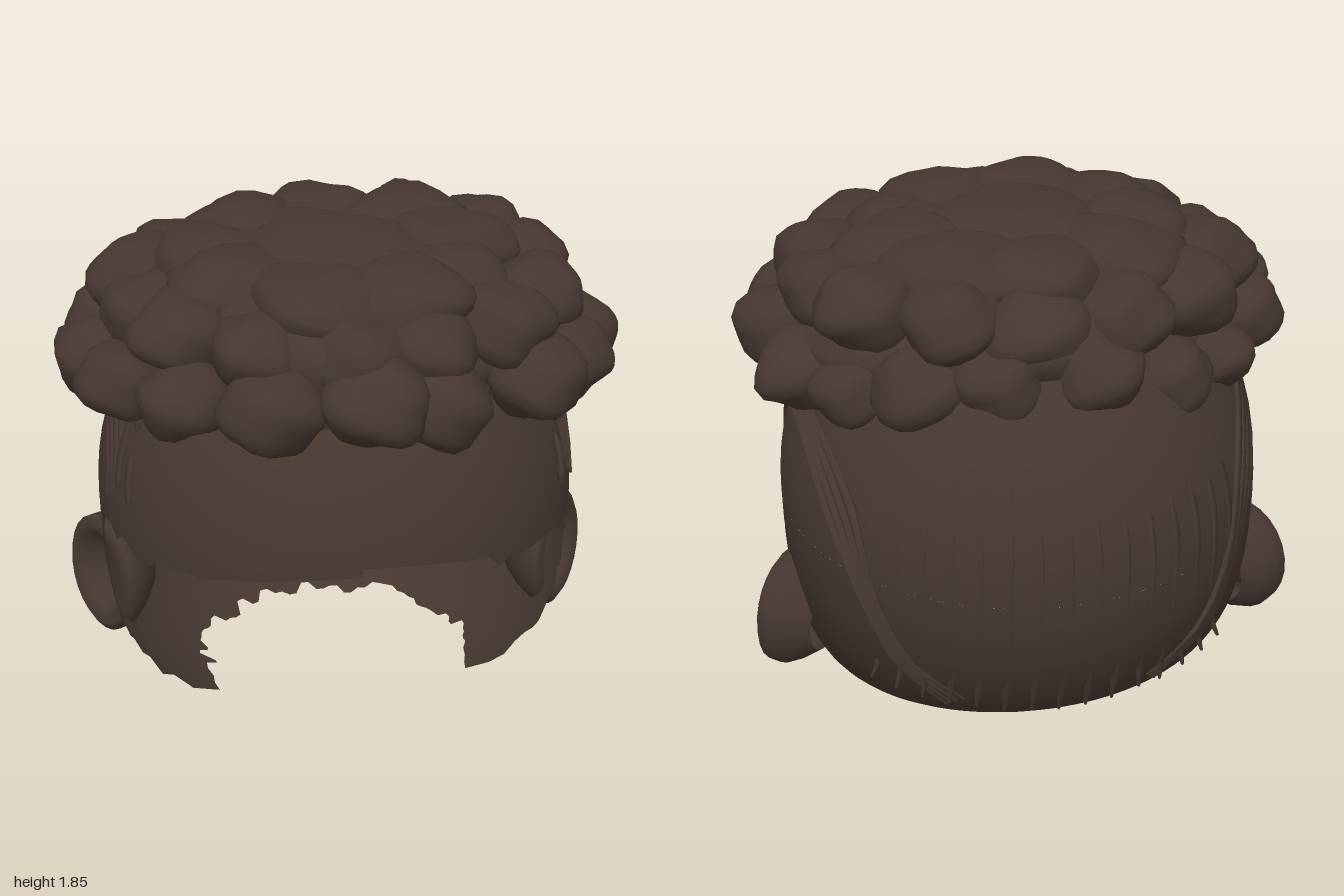
import * as THREE from 'three';
import { mergeGeometries, mergeVertices } from 'three/addons/utils/BufferGeometryUtils.js';

const MID = 0.87, R = 0.88, W = 0.85;
const mat = new THREE.MeshStandardMaterial({ color: 0x45362f, side: THREE.DoubleSide });
const hash = n => { const s = Math.sin(n * 127.1 + 11.7) * 43758.5453; return s - Math.floor(s); };
const round = (t, n) => Math.pow(Math.max(0, 1 - Math.pow(Math.min(1, t), n)), 1 / n);

// Half width and half depth of the head at a height
function halves(y) {
  const t = Math.abs(y - MID) / R;
  return y > MID ? [W * round(t, 2), R * round(t, 2)] : [W * round(t, 3.2), R * round(t, 2)];
}

// Point on the head at height y and azimuth a (0 is the front), k scales it outward
function onHead(y, a, k = 1) {
  const [w, d] = halves(y);
  const depth = y < MID && Math.cos(a) > 0 ? R : d;
  return new THREE.Vector3(w * Math.sin(a) * k, y, depth * Math.cos(a) * k);
}

// Point on the head's side, given height and z
function onSide(y, z, side, k = 1.01) {
  const [w, d] = halves(y);
  const q = Math.min(0.99, Math.abs(z) / (y < MID && z > 0 ? R : d));
  return new THREE.Vector3(side * w * Math.sqrt(1 - q * q) * k, y, z * k);
}

// Grid surface from a rule, with rounded head normals
function headGrid(nu, nv, fn) {
  const pos = [], nor = [], idx = [];
  for (let j = 0; j <= nv; j++) for (let i = 0; i <= nu; i++) {
    const p = fn(i, j);
    const n = new THREE.Vector3(p.x / (W * W), (p.y - MID) / (R * R), p.z / (R * R)).normalize();
    pos.push(p.x, p.y, p.z);
    nor.push(n.x, n.y, n.z);
    if (i < nu && j < nv) {
      const a = j * (nu + 1) + i, b = a + nu + 1;
      idx.push(a, b, a + 1, a + 1, b, b + 1);
    }
  }
  const g = new THREE.BufferGeometry();
  g.setAttribute('position', new THREE.Float32BufferAttribute(pos, 3));
  g.setAttribute('normal', new THREE.Float32BufferAttribute(nor, 3));
  g.setIndex(idx);
  return g;
}

// Upper dome, with a ragged brim over the open face
function upperCap() {
  const nu = 96, nv = 20;
  return headGrid(nu, nv, (i, j) => {
    const a = i / nu * Math.PI * 2, c = Math.max(0, Math.cos(a));
    const jag = c > 0.2 && c < 0.85 ? (hash(i) - 0.6) * 0.06 : 0;
    const brim = 0.86 + 0.12 * c ** 4 + jag + (c > 0.85 && a < 1 ? 0.03 : 0);
    const phi = j / nv * Math.acos((brim - MID) / R);
    return onHead(MID + R * Math.cos(phi), a);
  });
}

// Lower back and sides, open at the face and the neck
function lowerShell() {
  const nu = 72, nv = 20;
  return headGrid(nu, nv, (i, j) => {
    const t = j / nv, s = i / nu;
    const edge = 0.17 + (hash(j + (s > 0.5 ? 40 : 0)) - 0.5) * 0.07 * (j > 0 ? 1 : 0);
    const a0 = Math.acos(edge / R);
    const a = a0 + s * (Math.PI * 2 - 2 * a0);
    const bottom = 0.04 + 0.05 * Math.max(0, -Math.cos(a)) + (hash(Math.floor(i / 2) + 90) - 0.5) * 0.03;
    return onHead(0.86 + (bottom - 0.86) * t, a);
  });
}

// Rounded clump of curls, dented by a smooth rule
function clump(x, y, z, sx, sy, sz, seed, detail = 3) {
  const g0 = new THREE.IcosahedronGeometry(1, detail);
  g0.deleteAttribute('uv');
  g0.deleteAttribute('normal');
  const g = mergeVertices(g0, 1e-4), p = g.attributes.position;
  for (let i = 0; i < p.count; i++) {
    const v = new THREE.Vector3().fromBufferAttribute(p, i);
    const k = 1 + 0.09 * Math.sin(4 * v.x + seed) * Math.cos(3.5 * v.z + seed * 2) + 0.06 * Math.sin(5 * v.y + 3 * v.x + seed * 3);
    p.setXYZ(i, v.x * k, v.y * k, v.z * k);
  }
  g.scale(sx, sy, sz);
  g.rotateY(hash(seed) * 0.6 - 0.3);
  g.translate(x, y, z);
  g.computeVertexNormals();
  return g;
}

function curls() {
  const parts = [clump(0, 1.53, 0.08, 0.74, 0.3, 0.64, 2, 8)];
  // count, height, ring radii, clump radii
  const rings = [
    [17, 1.52, 0.78, 0.62, 0.155, 0.13, 0.155],
    [14, 1.65, 0.66, 0.54, 0.17, 0.13, 0.17],
    [9, 1.74, 0.40, 0.36, 0.23, 0.12, 0.21],
    [1, 1.74, 0, 0, 0.32, 0.13, 0.3],
  ];
  rings.forEach(([n, y, rx, rz, sx, sy, sz], r) => {
    for (let i = 0; i < n; i++) {
      const seed = r * 31 + i + 1, a = (i + 0.3 * hash(seed)) / n * Math.PI * 2 + r * 0.2;
      const h = hash(seed + 5), k = 0.97 + 0.07 * h, size = 0.9 + 0.25 * hash(seed + 9);
      const c = Math.cos(a), s = Math.sin(a);
      const sag = r ? 0 : -0.07 * Math.abs(c) - (s < -0.3 && s > -0.85 ? 0.05 : 0);
      parts.push(clump(rx * c * k, y + sag + (h - 0.5) * 0.05, 0.09 + rz * s * k, sx * size, sy * size, sz * size, seed));
    }
  });
  return mergeGeometries(parts);
}

// Thin strand tapered at both ends
function strand(points, radius = 0.014) {
  const curve = new THREE.CatmullRomCurve3(points), n = 16, sides = 4;
  const g = new THREE.TubeGeometry(curve, n, radius, sides), p = g.attributes.position;
  for (let i = 0; i < p.count; i++) {
    const u = Math.floor(i / (sides + 1)) / n, c = curve.getPointAt(u);
    const v = new THREE.Vector3().fromBufferAttribute(p, i).sub(c);
    v.multiplyScalar(Math.min(1, 0.3 + 5 * u * (1 - u))).add(c);
    p.setXYZ(i, v.x, v.y, v.z);
  }
  g.computeVertexNormals();
  return g;
}

// Strands sweeping over each ear, and short wisps at the temple
function sideStrands(side) {
  const list = [];
  for (let i = 0; i < 4; i++) {
    const o = i * 0.025;
    list.push(strand([[0.27 + o, 0.97 + o], [0.2 + o, 1.13 + o], [0, 1.22 + o], [-0.22, 1.2 + o],
      [-0.44 - o, 1.04 + o], [-0.58 - o * 0.6, 0.8], [-0.63 - o * 0.5, 0.55], [-0.6 - o, 0.31 + o]]
      .map(([z, y]) => onSide(y, z, side))));
  }
  for (const [z, y, len] of [[0.43, 1.03, 0.16], [0.35, 1.05, 0.2], [0.34, 1.26, 0.12], [0.5, 1.33, 0.1]])
    list.push(strand([0, 0.5, 1].map(t => onSide(y + len * t, z - 0.06 * t, side, 1.012))));
  return mergeGeometries(list);
}

// Strands fanning down the inside of the back, tips poking out at the nape
function napeStrands() {
  const list = [];
  for (let i = 0; i < 15; i++) {
    const f = (i - 7) / 7, a = Math.PI - f * 0.8, low = 0.3 + 0.1 * Math.abs(f) + 0.03 * hash(i);
    list.push(strand([1.25, 1.0, 0.75, 0.5, low].map((y, k) => onHead(y, a, [0.995, 0.99, 0.985, 0.985, 1.05][k])), 0.018));
  }
  return mergeGeometries(list);
}

// Cupped ear, opening outward and forward
function ear() {
  const profile = [[0.12, -0.12], [0.17, -0.06], [0.205, 0.0], [0.205, 0.05], [0.175, 0.07],
    [0.135, 0.045], [0.1, -0.01], [0.05, -0.04], [0, -0.045]].map(([r, h]) => new THREE.Vector2(r, h));
  const g = new THREE.LatheGeometry(profile, 24);
  g.rotateZ(-Math.PI / 2);
  g.scale(1, 1.13, 0.92);
  g.rotateY(-0.65);
  g.rotateX(-0.12);
  g.translate(0.83, 0.435, -0.1);
  return g;
}

export function createModel() {
  const model = new THREE.Group();
  model.name = 'curlyHairCap';
  const add = (name, g) => {
    const m = new THREE.Mesh(g, mat);
    m.name = name;
    model.add(m);
    return m;
  };
  add('upperCap', upperCap());
  add('lowerShell', lowerShell());
  add('topCurls', curls());
  add('napeStrands', napeStrands());
  for (const [name, side] of [['left', 1], ['right', -1]]) {
    add(name + 'SideStrands', sideStrands(side));
    add(name + 'Ear', ear()).scale.x = side;
  }
  return model;
}
